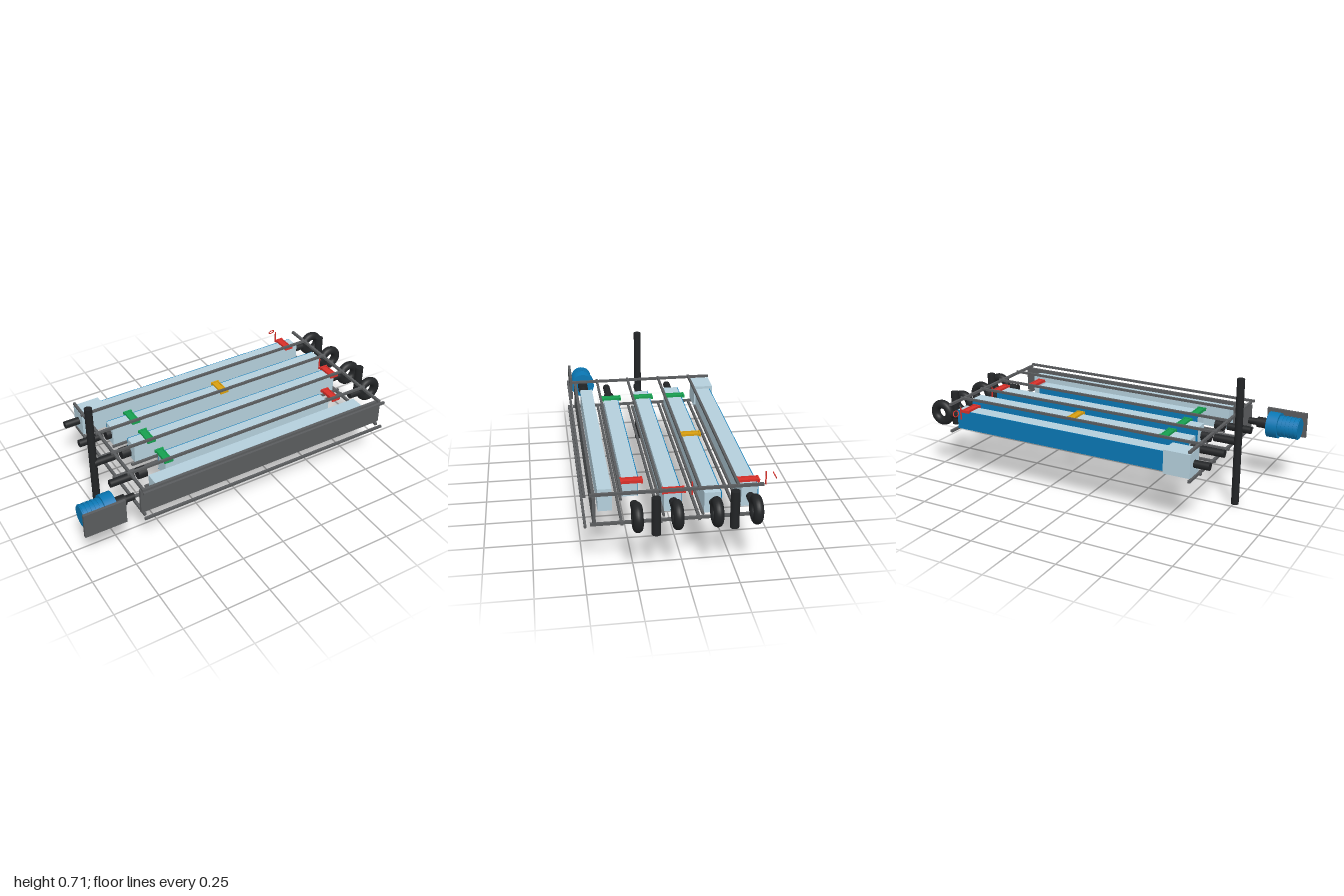
import * as THREE from 'three';

const mat = (color) => new THREE.MeshStandardMaterial({ color });
const STEEL = mat(0x5a5c5e), PIPE = mat(0x222426), WATER = mat(0xb4cfdc), BLUE = mat(0x0a78b5);
const RED = mat(0xd9302a), GREEN = mat(0x17a050), YELLOW = mat(0xd9a010);
const MID = 0.36; // height of the pipe axes

export function createModel() {
  const model = new THREE.Group();
  model.name = 'waterFlumeRig';

  const add = (name, geometry, material, x, y, z, parent = model) => {
    const mesh = new THREE.Mesh(geometry, material);
    mesh.name = name;
    mesh.position.set(x, y, z);
    parent.add(mesh);
    return mesh;
  };
  // box given by its limits on each axis
  const box = (name, material, [x0, x1], [y0, y1], [z0, z1], parent) =>
    add(name, new THREE.BoxGeometry(x1 - x0, y1 - y0, z1 - z0), material,
      (x0 + x1) / 2, (y0 + y1) / 2, (z0 + z1) / 2, parent);
  // cylinder lying along x
  const pipe = (name, material, x0, x1, r, z, parent) =>
    add(name, new THREE.CylinderGeometry(r, r, x1 - x0, 28).rotateZ(Math.PI / 2), material,
      (x0 + x1) / 2, MID, z, parent);

  // frame: long rails and cross bars, upper and lower
  for (const y of [0.277, 0.443]) {
    for (const z of [0.487, 0.308, 0.117, -0.075, -0.267])
      box('longRail', STEEL, [-0.68, 0.835], [y - 0.0065, y + 0.0065], [z - 0.0065, z + 0.0065]);
  }
  for (const y of [0.28, 0.44]) {
    for (const x of [-0.665, 0.82])
      box('crossBar', STEEL, [x - 0.007, x + 0.007], [y - 0.007, y + 0.007], [-0.393, 0.463]);
  }

  // front supply channel behind its dark panel
  box('frontPanel', STEEL, [-0.68, 0.84], [0.287, 0.434], [0.435, 0.451]);
  box('frontChannel', WATER, [-0.58, 0.73], [0.3, 0.42], [0.346, 0.418]);

  // lifting gate across a flume: a plate with two wider end flanges and a short stem
  const gate = (material, x, z) => {
    const g = new THREE.Group();
    g.name = 'gate';
    g.position.set(x, 0.416, z);
    model.add(g);
    box('gatePlate', material, [-0.019, 0.019], [-0.008, 0.004], [-0.05, 0.05], g);
    for (const s of [-1, 1]) {
      add('gateFlange', new THREE.BoxGeometry(0.05, 0.016, 0.01), material, 0, 0, s * 0.053, g);
      add('gateEdge', new THREE.BoxGeometry(0.006, 0.016, 0.1), material, s * 0.018, 0, 0, g);
    }
  };

  // four flumes: water body, blue back wall, foot bar, inlet, outlet and gates
  const flumes = [
    { z: 0.243, x: [-0.45, 0.6], bar: [-0.58, 0.63], stub: true, gates: [[GREEN, -0.435], [RED, 0.645]] },
    { z: 0.05, x: [-0.535, 0.78], bar: [-0.56, 0.82], stub: true, gates: [[GREEN, -0.435], [RED, 0.775]] },
    { z: -0.142, x: [-0.57, 0.82], bar: [-0.58, 0.83], stub: true, gates: [[GREEN, -0.43], [YELLOW, 0.137]] },
    { z: -0.335, x: [-0.52, 0.78], bar: [-0.52, 0.78], stub: false, gates: [[RED, 0.715]] },
  ];
  for (const f of flumes) {
    const { z } = f;
    box('flume', WATER, f.x, [0.303, 0.412], [z - 0.038, z + 0.044]);
    box('flumeBackWall', BLUE, f.x, [0.303, 0.412], [z - 0.042, z - 0.038]);
    box('footBar', STEEL, f.bar, [0.297, 0.309], [z + 0.045, z + 0.057]);
    pipe('inletPipe', PIPE, -0.755, f.stub ? -0.617 : -0.67, 0.021, z);
    if (f.stub) pipe('inletCoupling', PIPE, -0.597, -0.547, 0.031, z);
    pipe('outletPipe', PIPE, 0.785, 0.87, 0.021, z);
    add('outletRing', new THREE.TorusGeometry(0.05, 0.025, 18, 40), PIPE, 0.92, MID, z);
    for (const [m, x] of f.gates) gate(m, x, z - 0.001);
  }
  box('headBox', WATER, [-0.67, -0.52], [0.297, 0.428], [-0.393, -0.28]);

  // upright connectors between outlets, and the tall standpipe
  for (const [x, z] of [[0.92, 0.152], [0.906, -0.233]])
    add('connector', new THREE.CylinderGeometry(0.023, 0.023, 0.197, 28), PIPE, x, MID, z);
  add('standpipe', new THREE.CylinderGeometry(0.021, 0.021, 0.715, 28), PIPE, -0.755, 0.3575, 0.043);

  // pump: ribbed motor, casing, discharge and mounting plate
  const pump = new THREE.Group();
  pump.name = 'pump';
  model.add(pump);
  const pz = 0.39;
  pipe('motor', BLUE, -0.985, -0.87, 0.057, pz, pump);
  for (let i = 0; i < 5; i++) pipe('motorRib', BLUE, -0.98 + i * 0.022, -0.97 + i * 0.022, 0.061, pz, pump);
  pipe('casing', BLUE, -0.87, -0.807, 0.072, pz, pump);
  pipe('dischargeFlange', PIPE, -0.807, -0.74, 0.03, pz, pump);
  pipe('dischargePipe', PIPE, -0.74, -0.688, 0.019, pz, pump);
  box('mountingPlate', STEEL, [-1, -0.77], [0.288, 0.43], [0.456, 0.472], pump);

  // slim red markers and a tilted ring by the end gates
  box('marker', RED, [0.712, 0.718], [0.382, 0.453], [-0.433, -0.427]);
  box('marker', RED, [0.772, 0.778], [0.382, 0.453], [-0.048, -0.042]);
  const ring = add('markerRing', new THREE.TorusGeometry(0.017, 0.003, 8, 24), RED, 0.715, 0.43, -0.475);
  ring.rotation.x = 0.5;

  return model;
}
